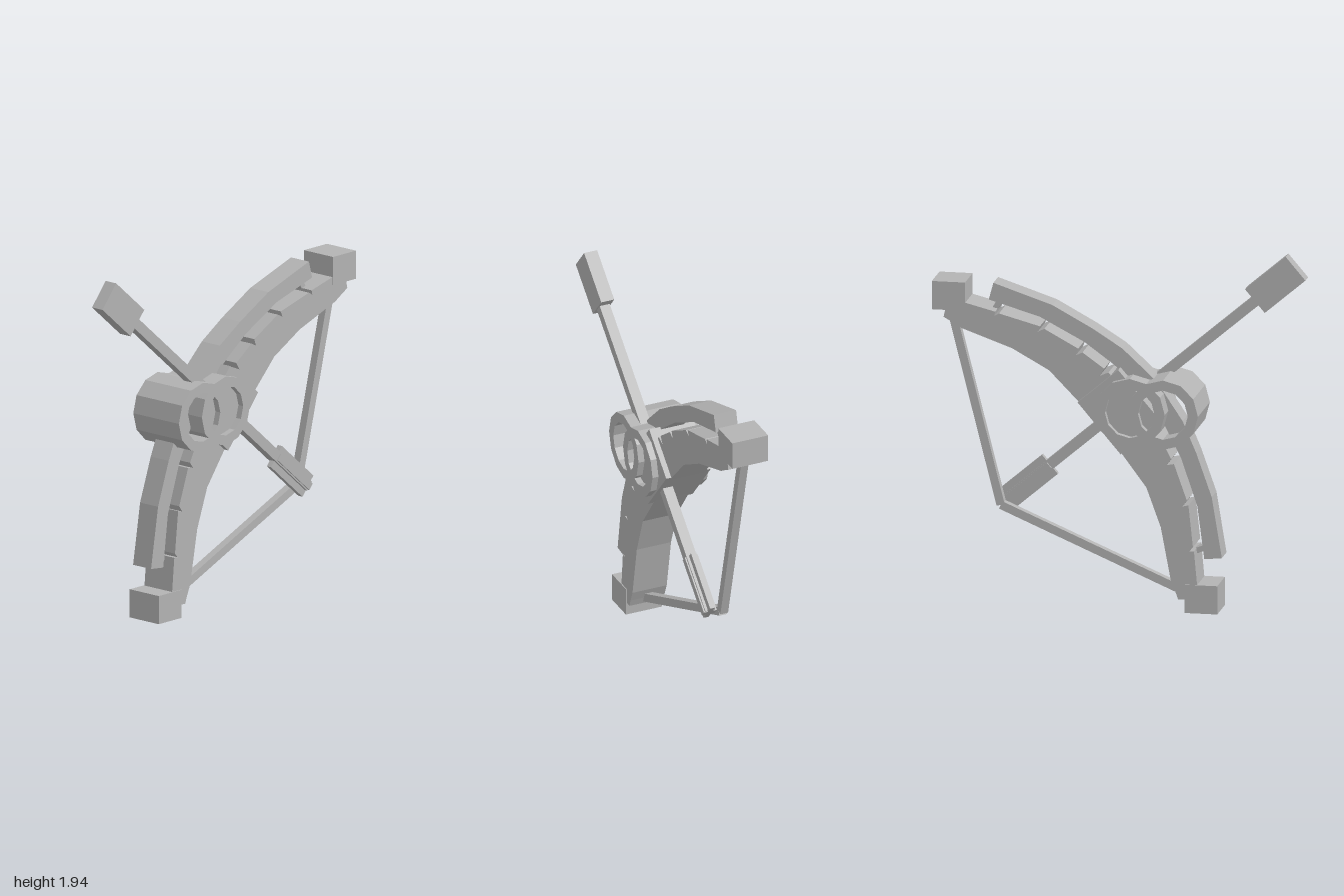
import * as THREE from 'three';

const grey = new THREE.MeshStandardMaterial({ color: 0xb3b3b3 });
grey.name = 'plain grey';

function add(parent, name, geometry, x = 0, y = 0, z = 0) {
  const mesh = new THREE.Mesh(geometry, grey);
  mesh.name = name;
  mesh.position.set(x, y, z);
  parent.add(mesh);
  return mesh;
}

// Box given by its limits on each axis
function block(parent, name, x0, x1, y0, y1, z0, z1) {
  return add(parent, name, new THREE.BoxGeometry(x1 - x0, y1 - y0, z1 - z0),
    (x0 + x1) / 2, (y0 + y1) / 2, (z0 + z1) / 2);
}

// Flat outline extruded evenly about z = 0
function slab(parent, name, points, depth, holes = []) {
  const shape = new THREE.Shape(points.map(([x, y]) => new THREE.Vector2(x, y)));
  for (const hole of holes) shape.holes.push(new THREE.Path(hole.map(([x, y]) => new THREE.Vector2(x, y))));
  const geometry = new THREE.ExtrudeGeometry(shape, { depth, bevelEnabled: false });
  geometry.translate(0, 0, -depth / 2);
  return add(parent, name, geometry);
}

// Square bar between two points in the xy plane
function bar(parent, name, [x0, y0], [x1, y1], width, depth) {
  const length = Math.hypot(x1 - x0, y1 - y0);
  const mesh = add(parent, name, new THREE.BoxGeometry(length, width, depth), (x0 + x1) / 2, (y0 + y1) / 2);
  mesh.rotation.z = Math.atan2(y1 - y0, x1 - x0);
}

const polygon = (radius, sides) => Array.from({ length: sides }, (_, i) => {
  const a = i * Math.PI * 2 / sides;
  return [radius * Math.cos(a), radius * Math.sin(a)];
});

export function createModel() {
  const model = new THREE.Group();
  model.name = 'bowAndArrow';

  // Tilted frame: x runs along the arrow to the string, y to the upper tip
  const bow = new THREE.Group();
  bow.name = 'bow';
  bow.position.set(0.22, 0.885, 0);
  bow.rotation.z = THREE.MathUtils.degToRad(-40.5);
  model.add(bow);

  block(bow, 'grip', -0.47, -0.18, -0.18, 0.18, -0.13, 0.13);

  // Limb outline: notched outer edge, then inner edge back to the grip
  const limb = [
    [-0.41, 0.15], [-0.41, 0.2], [-0.36, 0.215], [-0.405, 0.23],
    [-0.37, 0.37], [-0.33, 0.38], [-0.365, 0.4],
    [-0.29, 0.595], [-0.25, 0.605], [-0.28, 0.62],
    [-0.15, 0.81], [-0.12, 0.815], [-0.14, 0.83], [-0.02, 1.0],
    [0.02, 1.04], [0.1, 0.98], [0.085, 0.94], [0.065, 0.878],
    [-0.083, 0.62], [-0.163, 0.406], [-0.18, 0.15],
  ];
  for (const s of [1, -1]) {
    const side = s > 0 ? 'upper' : 'lower';
    slab(bow, side + 'Limb', limb.map(([x, y]) => [x, s * y]), 0.2);
    bar(bow, side + 'String', [0.07, s * 0.97], [0.55, 0], 0.045, 0.045);
    // Small strut between limb and outer rail
    bar(bow, side + 'Strut', [-0.22, s * 0.87], [-0.13, s * 0.84], 0.03, 0.06);
  }

  // Slender rail curving in front of the limbs
  const outer = [[-0.224, 0.954], [-0.398, 0.666], [-0.488, 0.432], [-0.544, 0.252], [-0.57, 0.034]];
  const inner = [[-0.48, 0.034], [-0.45, 0.216], [-0.405, 0.404], [-0.303, 0.658], [-0.145, 0.9]];
  const flip = (list) => list.map(([x, y]) => [x, -y]).reverse();
  slab(bow, 'outerRail', [...outer, ...flip(outer), ...flip(inner), ...inner], 0.13);

  // Arrow, set off to the front side
  const arrow = new THREE.Group();
  arrow.name = 'arrow';
  bow.add(arrow);
  block(arrow, 'arrowShaft', -1.27, 0.54, -0.028, 0.028, 0.047, 0.105);
  block(arrow, 'arrowHead', -1.54, -1.25, -0.08, 0.085, 0.037, 0.113);
  block(arrow, 'sideFletching', 0.22, 0.545, -0.066, 0.066, 0.06, 0.09);
  block(arrow, 'uprightFletching', 0.22, 0.545, -0.02, 0.02, 0.037, 0.113);

  // Twelve-sided overlapping rings around the grip
  for (const [name, x] of [['frontRing', -0.27], ['gripRing', -0.09]]) {
    slab(model, name, polygon(0.19, 12), 0.33, [polygon(0.135, 12)]).position.set(x, 1.1, 0);
  }

  // Square tip caps
  block(model, 'upperTip', 0.815, 0.995, 1.605, 1.76, -0.105, 0.105);
  block(model, 'lowerTip', -0.553, -0.375, 0.005, 0.16, -0.105, 0.105);

  return model;
}
